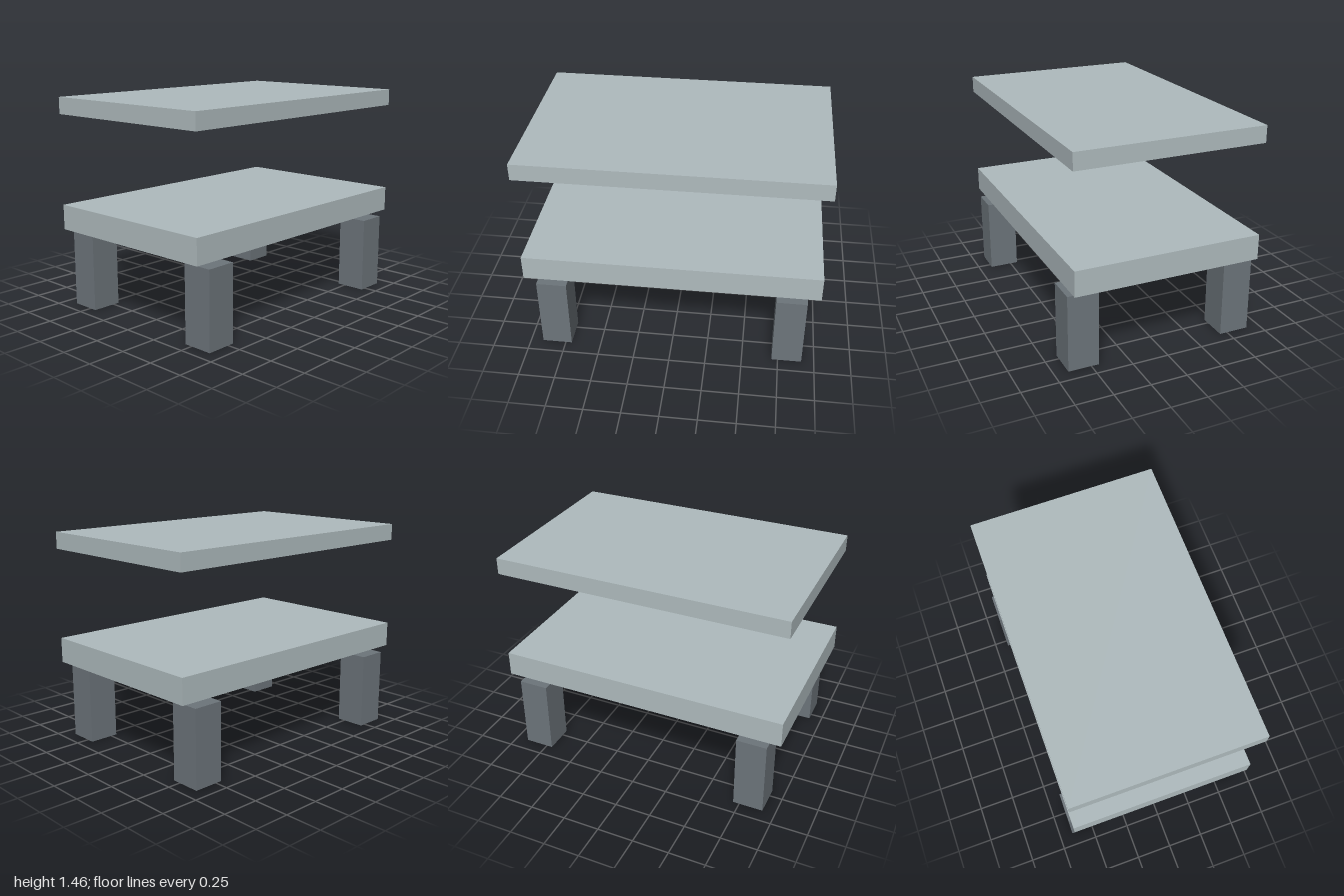
import * as THREE from 'three';

export function createModel() {
  const group = new THREE.Group();
  const paleGrey = new THREE.MeshStandardMaterial({ name: 'pale grey', color: 0xafbbbe });
  const slateGrey = new THREE.MeshStandardMaterial({ name: 'slate grey', color: 0x6d757b });

  // Box given by its size, centre in x and z, and bottom height
  function addBox(name, material, [w, h, d], x, bottom, z) {
    const mesh = new THREE.Mesh(new THREE.BoxGeometry(w, h, d), material);
    mesh.name = name;
    mesh.position.set(x, bottom + h / 2, z);
    group.add(mesh);
  }

  // Two floating slabs
  addBox('lowerSlab', paleGrey, [1.284, 0.172, 2], 0, 0.56, 0);
  addBox('upperSlab', paleGrey, [1.284, 0.114, 2], 0, 1.35, 0);

  // Four legs, with a small gap below the lower slab
  for (const [side, sx] of [['Left', 1], ['Right', -1]]) {
    for (const [end, sz] of [['front', 1], ['back', -1]]) {
      addBox(`${end}${side}Leg`, slateGrey, [0.209, 0.525, 0.206], sx * 0.552, 0, sz * 0.81);
    }
  }
  return group;
}
